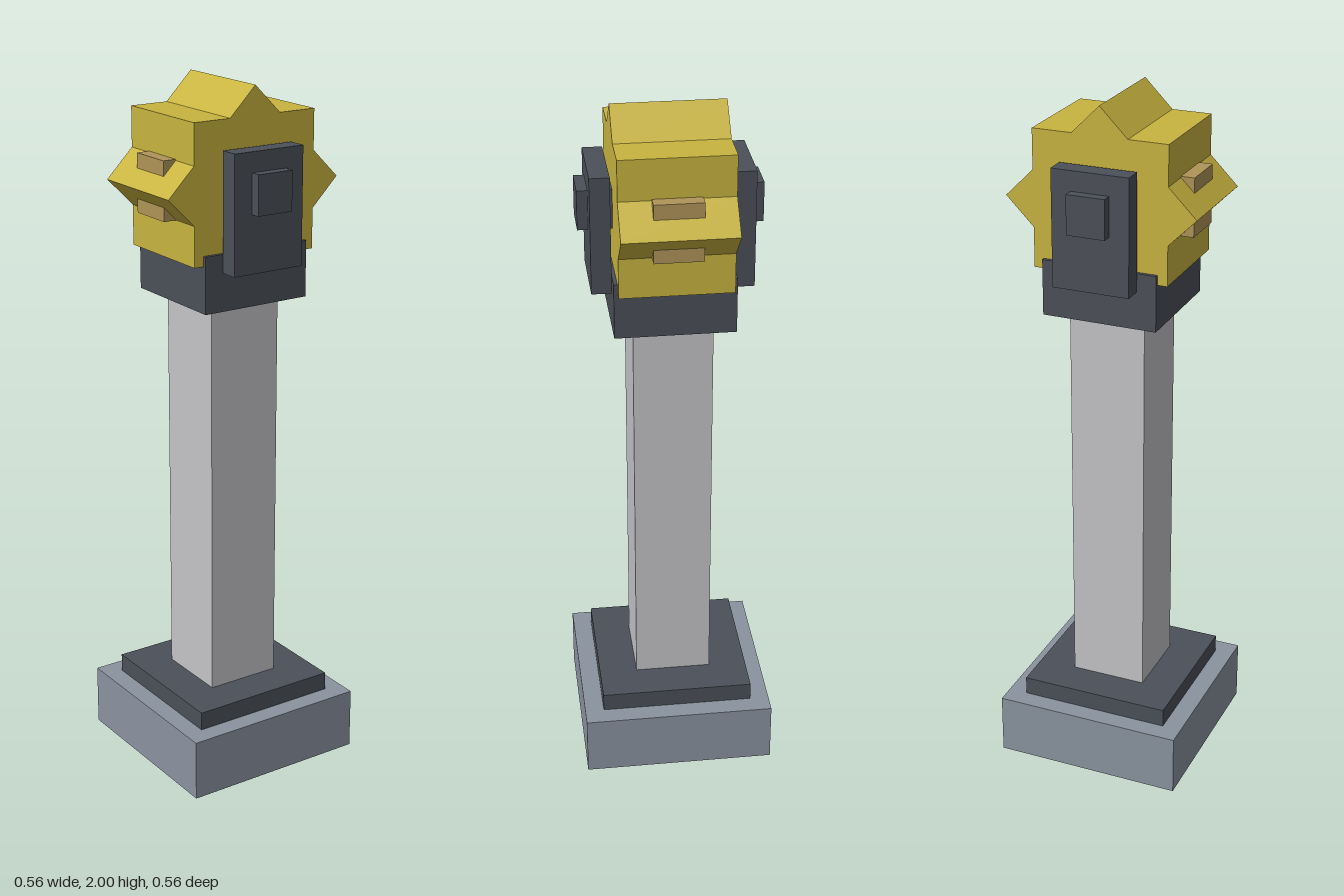
import * as THREE from 'three';

const material = (name, color) => {
  const m = new THREE.MeshStandardMaterial({ color });
  m.name = name;
  return m;
};

export function createModel() {
  const stone = material('blue grey stone', 0x8a93a0);
  const iron = material('dark iron', 0x4b5058);
  const pale = material('pale grey', 0xc4c4c8);
  const gold = material('gold', 0xc8b440);
  const bronze = material('bronze', 0xb09458);

  const model = new THREE.Group();
  model.name = 'starPillar';

  const add = (name, geometry, mat, y = 0, z = 0) => {
    const mesh = new THREE.Mesh(geometry, mat);
    mesh.name = name;
    mesh.position.set(0, y, z);
    model.add(mesh);
  };
  // Box centred on x, given by its size and its bottom and top heights
  const box = (name, mat, w, y0, y1, d, z = 0) =>
    add(name, new THREE.BoxGeometry(w, y1 - y0, d), mat, (y0 + y1) / 2, z);

  // Pillar
  box('base', stone, 0.555, 0, 0.18, 0.555);
  box('collar', iron, 0.444, 0.18, 0.234, 0.444);
  box('post', pale, 0.222, 0.234, 1.4, 0.222);
  box('cap', iron, 0.333, 1.4, 1.56, 0.333);

  // Eight-pointed head: two equal squares, one turned by 45 degrees
  const centre = 1.726;
  const tip = 0.275;
  const notch = (tip * Math.SQRT1_2) / Math.cos(Math.PI / 8);
  const points = [];
  for (let i = 0; i < 16; i++) {
    const r = i % 2 ? notch : tip;
    const a = (i * Math.PI) / 8;
    points.push(new THREE.Vector2(r * Math.cos(a), r * Math.sin(a)));
  }
  const star = new THREE.ExtrudeGeometry(new THREE.Shape(points), { depth: 0.312, bevelEnabled: false });
  star.translate(0, 0, -0.156);
  add('starHead', star, gold, centre);

  // Inset block showing above and below the side points
  box('sideInsets', bronze, 0.466, 1.645, 1.81, 0.134);

  // Bracket plates in front and behind, joined by the axle
  for (const s of [1, -1]) {
    box(s > 0 ? 'frontBracket' : 'backBracket', iron, 0.222, 1.508, 1.84, 0.055, s * 0.194);
  }
  box('axle', iron, 0.11, 1.672, 1.784, 0.502);

  return model;
}
